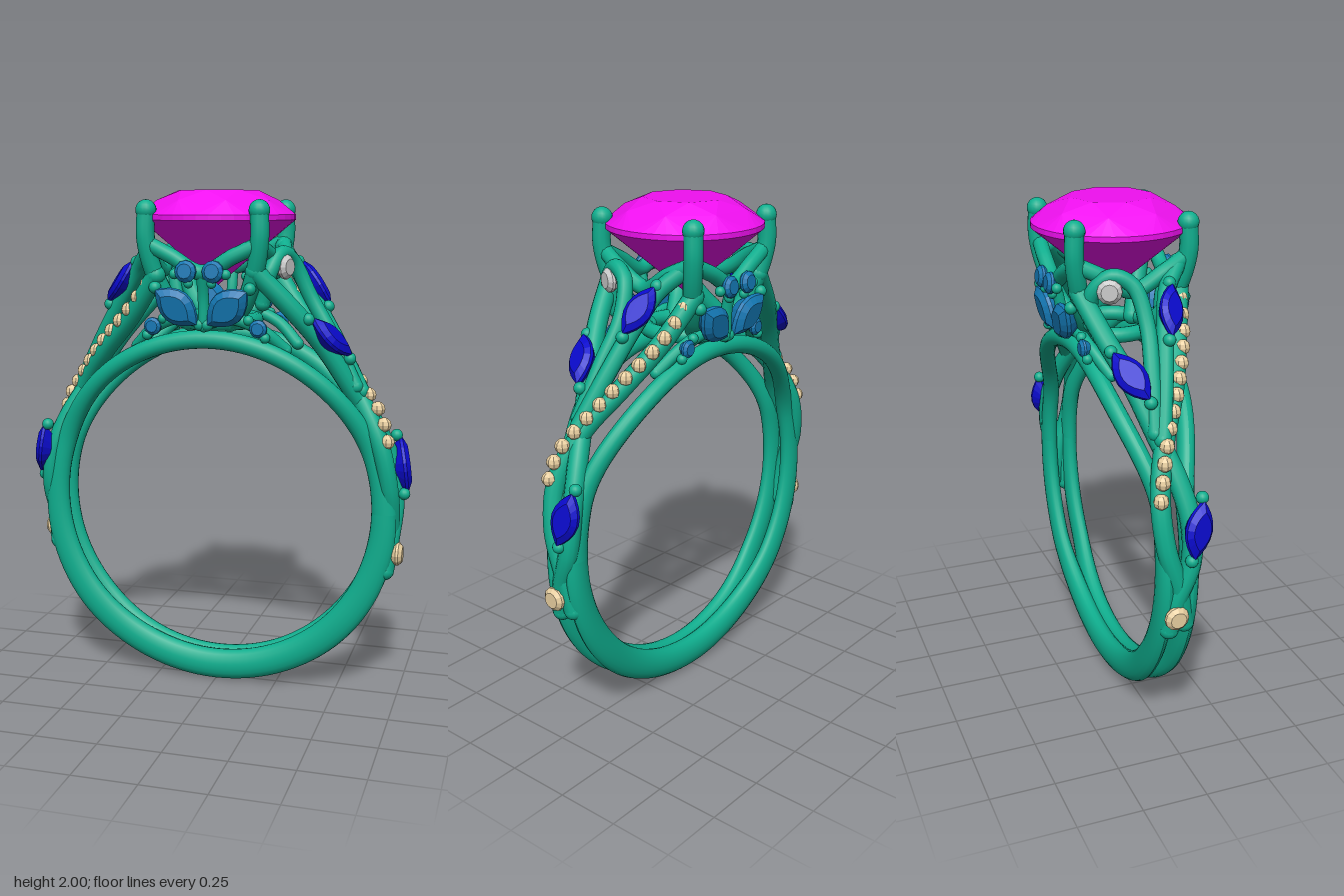
import * as THREE from 'three';
import { ConvexGeometry } from 'three/addons/geometries/ConvexGeometry.js';

const mat = (color, flatShading = false) => new THREE.MeshStandardMaterial({ color, flatShading });
const metal = mat(0x0fae8e);
const magenta = mat(0xf010f0, true);
const blue = mat(0x0a0acc, true);
const skyBlue = mat(0x1478b4, true);
const beige = mat(0xe8cfa0, true);
const white = mat(0xcccccc, true);
const V = (a) => new THREE.Vector3(...a);
const TAU = Math.PI * 2;

function add(parent, name, geometry, material, position = [0, 0, 0]) {
  const mesh = new THREE.Mesh(geometry, material);
  mesh.name = name;
  mesh.position.set(...position);
  parent.add(mesh);
  return mesh;
}

function ball(parent, name, position, radius) {
  return add(parent, name, new THREE.SphereGeometry(radius, 16, 12), metal, position);
}

// Round wire through points, closed off by a ball at each end
function wire(parent, name, points, radius) {
  const curve = new THREE.CatmullRomCurve3(points.map(V));
  add(parent, name, new THREE.TubeGeometry(curve, 64, radius, 12), metal);
  [points[0], points[points.length - 1]].forEach((p) => ball(parent, name + 'End', p, radius));
}

// Faceted stone: unit outline in xy, table towards +z
function stoneGeometry(length, width, depth, pointed) {
  const points = [];
  const n = pointed ? 20 : 12;
  for (let i = 0; i < n; i++) {
    const a = (i / n) * TAU;
    const x = Math.cos(a);
    const y = pointed ? Math.sign(Math.sin(a)) * (1 - x * x) : Math.sin(a);
    for (const [s, z] of [[1, 0], [0.97, 0.25], [0.65, 0.6], [0.6, -0.7]]) {
      points.push(new THREE.Vector3(x * s * length / 2, y * s * width / 2, z * depth));
    }
  }
  return new ConvexGeometry(points);
}

// Stone set along an axis, facing a normal; pointed ones get a prong at each tip
function stone(parent, name, material, center, axis, normal, length, width, pointed = true) {
  const x = V(axis).normalize();
  const y = V(normal).cross(x).normalize();
  const z = x.clone().cross(y);
  const mesh = add(parent, name, stoneGeometry(length, width, width * 0.42, pointed), material, center);
  mesh.quaternion.setFromRotationMatrix(new THREE.Matrix4().makeBasis(x, y, z));
  if (pointed) {
    for (const s of [-1, 1]) {
      const tip = V(center).addScaledVector(x, s * length * 0.53).addScaledVector(z, -0.008);
      ball(parent, name + 'Prong', tip.toArray(), 0.024);
    }
  }
}

// Band rail: torus moved so it thickens below and spreads sideways at the top
function bandRail(parent, side) {
  const geometry = new THREE.TorusGeometry(1, 0.1, 18, 120);
  const p = geometry.attributes.position;
  const mix = THREE.MathUtils.lerp;
  const smooth = THREE.MathUtils.smoothstep;
  for (let i = 0; i < p.count; i++) {
    const a = Math.atan2(p.getY(i), p.getX(i));
    const c = (Math.hypot(p.getX(i), p.getY(i)) - 1) / 0.1;
    const s = p.getZ(i) / 0.1;
    const up = Math.sin(a);
    const half = mix(0.063, 0.036, smooth(up, -1, 0.9));
    const wide = mix(0.042, 0.034, smooth(up, -1, -0.6));
    const z = mix(0.028, 0.047, smooth(up, -1, -0.6)) + 0.105 * smooth(up, 0.3, 1);
    const r = 0.635 + half + half * c;
    p.setXYZ(i, r * Math.cos(a), r * up, side * z + wide * s);
  }
  geometry.computeVertexNormals();
  add(parent, 'bandRail', geometry, metal, [0, 0.765, 0]);
}

// Large round brilliant
function centerStone(parent) {
  const points = [new THREE.Vector3(0, 1.635, 0)];
  const ring = (n, r, y, shift = 0) => {
    for (let i = 0; i < n; i++) {
      const a = ((i + shift) / n) * TAU;
      points.push(new THREE.Vector3(r * Math.sin(a), y, r * Math.cos(a)));
    }
  };
  ring(8, 0.16, 2);
  ring(8, 0.24, 1.962, 0.5);
  ring(40, 0.303, 1.908);
  ring(40, 0.303, 1.888);
  ring(8, 0.17, 1.775, 0.5);
  add(parent, 'centerStone', new ConvexGeometry(points), magenta);
}

// One shoulder (+x) of interlaced vines with their stones
function shoulder(parent) {
  wire(parent, 'beadedVine', [[0.19, 1.68, -0.2], [0.31, 1.52, -0.145], [0.45, 1.37, -0.075], [0.57, 1.22, 0.01],
    [0.66, 1.05, 0.06], [0.7, 0.87, 0.05], [0.705, 0.7, 0], [0.69, 0.55, -0.03]], 0.038);
  wire(parent, 'leafVine', [[0.2, 1.7, 0.2], [0.33, 1.56, 0.15], [0.44, 1.42, 0.09], [0.55, 1.24, 0.03],
    [0.64, 1.09, -0.02], [0.695, 0.95, -0.045], [0.715, 0.8, -0.04], [0.705, 0.65, 0.01], [0.69, 0.53, 0.03]], 0.038);
  wire(parent, 'upperVine', [[0.22, 1.78, -0.18], [0.29, 1.7, -0.11], [0.36, 1.6, -0.075], [0.47, 1.43, -0.03],
    [0.58, 1.24, 0.02]], 0.033);
  wire(parent, 'loopVine', [[0.22, 1.58, 0.16], [0.25, 1.7, 0.165], [0.28, 1.765, 0.1], [0.31, 1.73, 0.03],
    [0.37, 1.6, 0], [0.46, 1.45, 0.015], [0.56, 1.26, 0.04]], 0.03);

  // Row of graduated beads
  const row = new THREE.CatmullRomCurve3([[0.23, 1.645, -0.19], [0.33, 1.53, -0.16], [0.467, 1.395, -0.085],
    [0.6, 1.238, 0.01], [0.665, 1.15, 0.05], [0.692, 1.055, 0.07]].map(V));
  row.getSpacedPoints(12).forEach((p) => {
    add(parent, 'beadStone', new THREE.SphereGeometry(0.029, 8, 6), beige, p.toArray());
  });

  // Pointed leaf stones
  stone(parent, 'lowerLeafStone', blue, [0.738, 0.945, -0.055], [0.04, -0.21, 0.05], [0.95, 0.15, -0.2], 0.22, 0.115);
  stone(parent, 'middleLeafStone', blue, [0.472, 1.45, 0.1], [0.15, -0.16, -0.1], [0.75, 0.6, 0.2], 0.22, 0.115);
  stone(parent, 'upperLeafStone', blue, [0.37, 1.645, -0.092], [0.128, -0.165, 0.05], [0.72, 0.55, -0.35], 0.21, 0.105);

  // Round accents
  stone(parent, 'whiteStone', white, [0.295, 1.715, 0.115], [0, 1, 0], [0.9, 0.25, 0.35], 0.095, 0.095, false);
  stone(parent, 'roundSideStone', beige, [0.735, 0.6, 0.02], [0, 1, 0], [1, -0.15, 0], 0.095, 0.095, false);
}

// Prongs, gallery and butterfly cluster of one face (+z)
function headFace(parent) {
  for (const s of [-1, 1]) {
    wire(parent, 'prong', [[0.22 * s, 1.925, 0.22], [0.222 * s, 1.82, 0.222], [0.2 * s, 1.7, 0.2],
      [0.15 * s, 1.58, 0.16], [0.08 * s, 1.5, 0.12]], 0.036);
    ball(parent, 'prongTip', [0.22 * s, 1.925, 0.22], 0.04);
    stone(parent, 'wingStone', skyBlue, [0.1 * s, 1.565, 0.222], [0.16 * s, 0.13, 0.02], [0.1 * s, -0.1, 1], 0.21, 0.135);
    stone(parent, 'smallWingStone', skyBlue, [0.053 * s, 1.7, 0.258], [1, 0, 0], [0.15 * s, 0.1, 1], 0.085, 0.085, false);
    stone(parent, 'dropStone', skyBlue, [0.21 * s, 1.485, 0.185], [1, 0, 0], [0.2 * s, 0, 1], 0.07, 0.07, false);
    ball(parent, 'smallProng', [0.1 * s, 1.69, 0.25], 0.02);
    ball(parent, 'smallProng', [0.045 * s, 1.655, 0.25], 0.018);
    ball(parent, 'smallProng', [0.17 * s, 1.515, 0.18], 0.02);
    ball(parent, 'smallProng', [0.235 * s, 1.45, 0.18], 0.02);
    wire(parent, 'dropStem', [[0, 1.5, 0.19], [0.1 * s, 1.52, 0.175], [0.21 * s, 1.48, 0.155], [0.3 * s, 1.4, 0.11]], 0.024);
  }
  wire(parent, 'frontGallery', [[-0.215, 1.8, 0.215], [-0.12, 1.755, 0.225], [0, 1.695, 0.225],
    [0.12, 1.755, 0.225], [0.215, 1.8, 0.215]], 0.03);
  wire(parent, 'sideGallery', [[0.215, 1.8, 0.215], [0.24, 1.755, 0.12], [0.23, 1.69, 0],
    [0.24, 1.755, -0.12], [0.215, 1.8, -0.215]], 0.03);
  wire(parent, 'butterflyBody', [[0, 1.49, 0.2], [0, 1.6, 0.205], [0, 1.7, 0.23]], 0.022);
}

export function createModel() {
  const ring = new THREE.Group();
  ring.name = 'ring';
  bandRail(ring, 1);
  bandRail(ring, -1);
  centerStone(ring);

  // Base hoop under the head
  const hoop = add(ring, 'baseHoop', new THREE.TorusGeometry(0.15, 0.03, 12, 48), metal, [0, 1.5, 0]);
  hoop.rotation.x = Math.PI / 2;

  // Both halves are the same, turned half round
  for (let i = 0; i < 2; i++) {
    const half = new THREE.Group();
    half.name = i ? 'rightHalf' : 'leftHalf';
    half.rotation.y = i * Math.PI;
    shoulder(half);
    headFace(half);
    ring.add(half);
  }
  return ring;
}
